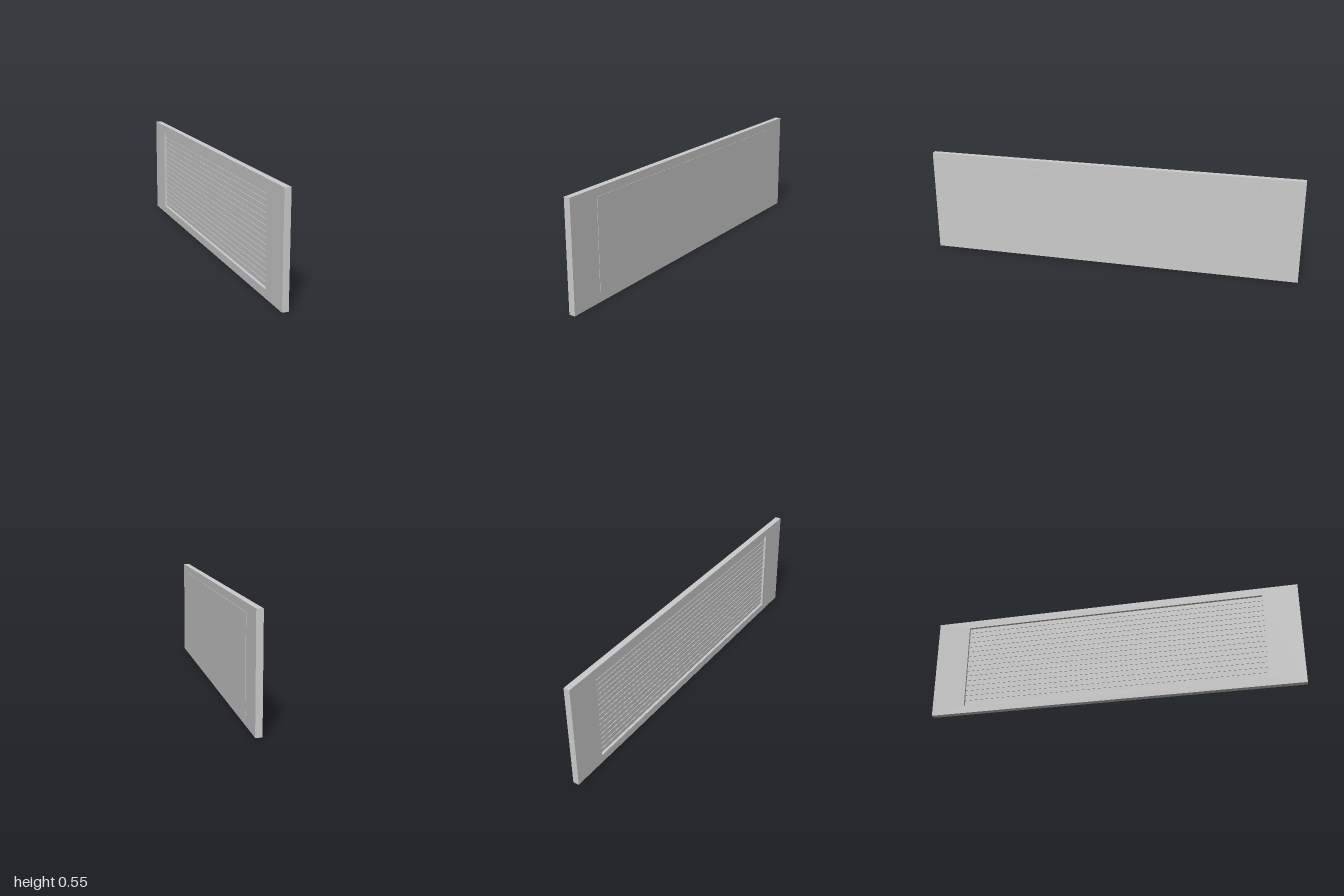
import * as THREE from 'three';

const material = new THREE.MeshStandardMaterial({ color: 0xcccccc, flatShading: true });

// Box given by its minimum and maximum on each axis
function box(name, [x0, x1], [y0, y1], [z0, z1]) {
  const mesh = new THREE.Mesh(new THREE.BoxGeometry(x1 - x0, y1 - y0, z1 - z0), material);
  mesh.position.set((x0 + x1) / 2, (y0 + y1) / 2, (z0 + z1) / 2);
  mesh.name = name;
  return mesh;
}

export function createModel() {
  const group = new THREE.Group();
  group.name = 'louvredPanel';

  const back = -0.0175, face = 0.0147;
  const bottom = 0.043, top = 0.51, half = 0.817;

  // Frame with a rectangular opening, extruded through its thickness
  const outline = new THREE.Shape([
    new THREE.Vector2(-1, 0), new THREE.Vector2(1, 0),
    new THREE.Vector2(1, 0.552), new THREE.Vector2(-1, 0.552),
  ]);
  outline.holes.push(new THREE.Path([
    new THREE.Vector2(-half, bottom), new THREE.Vector2(-half, top),
    new THREE.Vector2(half, top), new THREE.Vector2(half, bottom),
  ]));
  const frameGeometry = new THREE.ExtrudeGeometry(outline, { depth: face - back, bevelEnabled: false });
  frameGeometry.rotateY(Math.PI / 2);
  const frame = new THREE.Mesh(frameGeometry, material);
  frame.position.x = back;
  frame.name = 'frame';
  group.add(frame);

  // Slightly raised plate that closes the opening
  group.add(box('coverPlate', [-0.003, 0.0167], [bottom, top], [-half, half]));

  // Horizontal slats inside the recess
  const slats = new THREE.Group();
  slats.name = 'slats';
  const count = 16, pitch = (top - bottom) / count;
  for (let i = 0; i < count; i++) {
    const y = bottom + (i + 0.5) * pitch;
    slats.add(box('slat', [-0.006, -0.002], [y - pitch * 0.38, y + pitch * 0.38], [-half, half]));
  }
  group.add(slats);

  return group;
}
